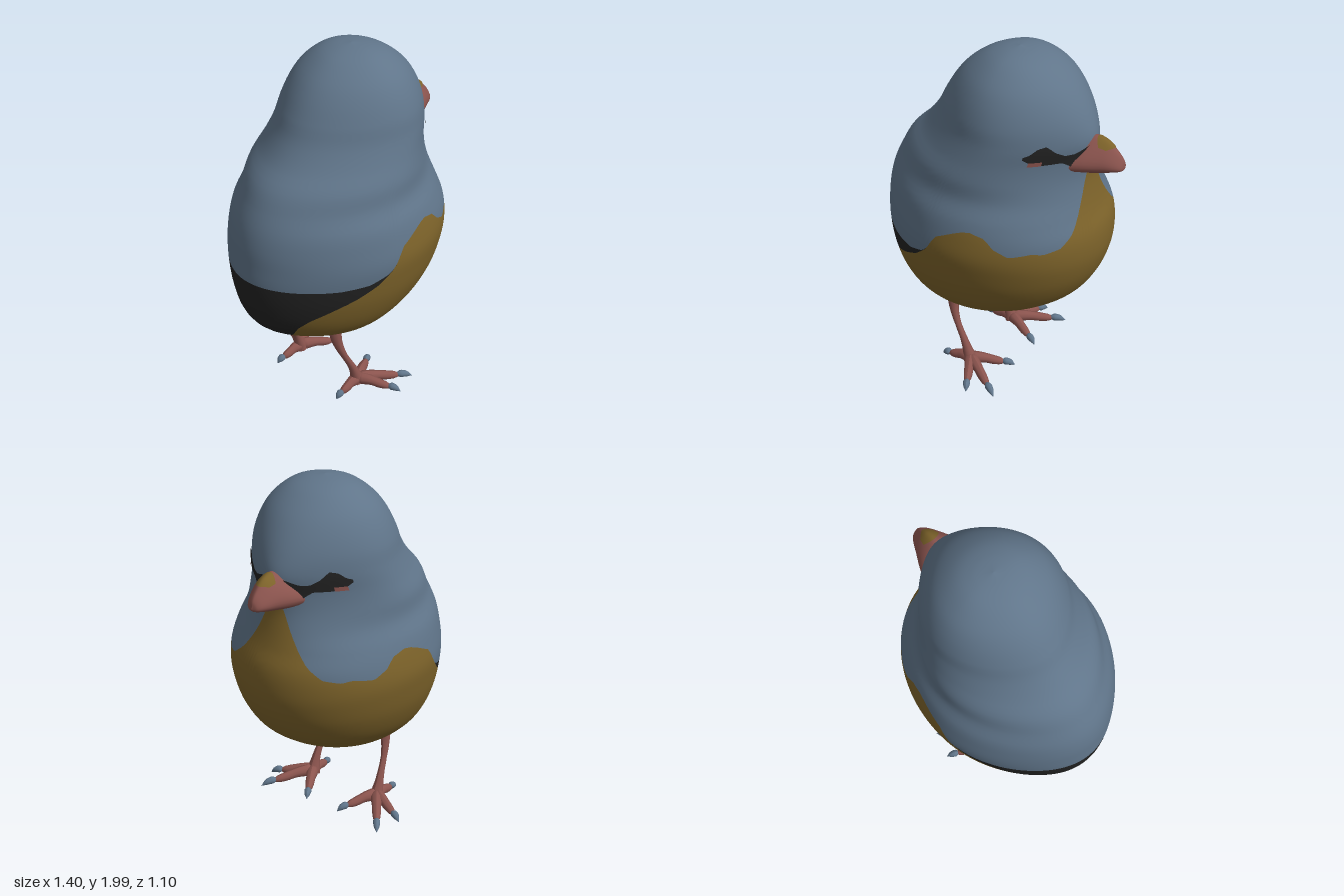
import * as THREE from 'three';

const mat = (name, color) =>
  Object.assign(new THREE.MeshStandardMaterial({ color }), { name });

// Smooth curve through rows of [key, a, b, c, d]; at(t) gives an interpolated row
function rowsCurve(rows) {
  const make = (i, j) => new THREE.CatmullRomCurve3(
    rows.map(r => new THREE.Vector3(r[0], r[i], r[j])), false, 'catmullrom', 0.5);
  const p = make(1, 2), q = make(3, 4);
  return t => {
    const a = p.getPoint(t), b = q.getPoint(t);
    return [a.x, a.y, a.z, b.y, b.z];
  };
}

// Piecewise linear lookup in [[x, y], ...]
function lookup(table, x) {
  if (x <= table[0][0]) return table[0][1];
  for (let i = 1; i < table.length; i++) {
    const [x0, y0] = table[i - 1], [x1, y1] = table[i];
    if (x <= x1) return y0 + (y1 - y0) * (x - x0) / (x1 - x0);
  }
  return table[table.length - 1][1];
}

// Strip of the surface P(angle, u), between u = lo(angle) and hi(angle), raised by offset
function strip(P, a0, a1, lo, hi, na, nu, offset = 0) {
  const pos = [], nor = [], idx = [], e = 0.002;
  for (let i = 0; i <= na; i++) {
    const a = a0 + (a1 - a0) * i / na, l = lo(a), h = Math.max(l, hi(a));
    for (let j = 0; j <= nu; j++) {
      const u = l + (h - l) * j / nu, v = THREE.MathUtils.clamp(u, 0.004, 0.996);
      const du = P(a, v + e).sub(P(a, v - e)), da = P(a + e, v).sub(P(a - e, v));
      const n = du.cross(da).normalize();
      pos.push(...P(a, u).addScaledVector(n, offset).toArray());
      nor.push(...n.toArray());
      if (i < na && j < nu) {
        const k = i * (nu + 1) + j, m = k + nu + 1;
        idx.push(k, k + 1, m, k + 1, m + 1, m);
      }
    }
  }
  const g = new THREE.BufferGeometry();
  g.setAttribute('position', new THREE.Float32BufferAttribute(pos, 3));
  g.setAttribute('normal', new THREE.Float32BufferAttribute(nor, 3));
  g.setIndex(idx);
  return g;
}

// Tube whose radius follows a list of values
function taperTube(points, radii, seg = 16) {
  const curve = new THREE.CatmullRomCurve3(points.map(p => new THREE.Vector3(...p)));
  const g = new THREE.TubeGeometry(curve, seg, 1, 10), pos = g.attributes.position;
  const table = radii.map((r, i) => [i / (radii.length - 1), r]), v = new THREE.Vector3();
  for (let i = 0; i < pos.count; i++) {
    const t = Math.floor(i / 11) / seg, c = curve.getPointAt(t);
    v.fromBufferAttribute(pos, i).sub(c).multiplyScalar(lookup(table, t)).add(c);
    pos.setXYZ(i, v.x, v.y, v.z);
  }
  g.computeVertexNormals();
  return g;
}

// Body sections: height, back x, front x, half width, taper towards the face
const bodyAt = rowsCurve([
  [0.415, -0.16, -0.16, 0, 0], [0.425, -0.3, 0, 0.15, 0], [0.455, -0.4, 0.15, 0.25, 0],
  [0.5, -0.5, 0.26, 0.325, 0], [0.57, -0.6, 0.375, 0.4, 0], [0.66, -0.66, 0.48, 0.46, 0],
  [0.78, -0.69, 0.555, 0.51, 0], [0.9, -0.7, 0.595, 0.537, 0], [1.0, -0.695, 0.605, 0.548, 0],
  [1.1, -0.685, 0.595, 0.535, 0], [1.2, -0.66, 0.56, 0.51, 0.05], [1.3, -0.615, 0.535, 0.465, 0.15],
  [1.4, -0.555, 0.52, 0.45, 0.28], [1.5, -0.455, 0.525, 0.42, 0.38], [1.6, -0.38, 0.53, 0.395, 0.36],
  [1.7, -0.327, 0.495, 0.375, 0.26], [1.8, -0.265, 0.435, 0.335, 0.16], [1.88, -0.195, 0.365, 0.28, 0.08],
  [1.95, -0.1, 0.27, 0.195, 0], [1.985, -0.01, 0.18, 0.11, 0], [2.0, 0.08, 0.08, 0, 0],
]);
function bodyPoint(a, u) {
  const [y, back, front, half, taper] = bodyAt(u), c = Math.cos(a);
  return new THREE.Vector3((front + back) / 2 + (front - back) / 2 * c, y,
    half * Math.sin(a) * (1 - (c > 0 ? taper : 0.17) * c * c));
}
function bodyU(y) {
  let lo = 0, hi = 1;
  for (let i = 0; i < 24; i++) {
    const m = (lo + hi) / 2;
    if (bodyAt(m)[0] < y) lo = m; else hi = m;
  }
  return lo;
}
const edge = table => a => bodyU(lookup(table, Math.abs(a)));

// Plumage borders: angle from the face, height
const sharedEdge = [[0, 1.46], [0.15, 1.43], [0.25, 1.3], [0.33, 1.2], [0.41, 1.14], [0.55, 1.08],
  [0.72, 1.06], [0.81, 1.07], [1.01, 1.05], [1.14, 1.09], [1.21, 1.14], [1.34, 1.16],
  [1.42, 1.15], [1.5, 1.13], [1.66, 1.08], [1.75, 0.98]];
const bellyTop = edge([...sharedEdge, [1.88, 0.9], [2.04, 0.84], [2.23, 0.78], [2.43, 0.71],
  [2.55, 0.65], [2.64, 0.57], [2.8, 0.51], [3.14, 0.49]]);
const coatBottom = edge([...sharedEdge, [1.81, 0.95], [1.96, 0.915], [2.2, 0.905], [3.14, 0.91]]);
const maskTop = edge([[0, 1.6], [0.3, 1.58], [0.47, 1.56], [0.6, 1.56], [0.72, 1.585],
  [0.82, 1.625], [0.92, 1.615], [1.0, 1.585], [1.06, 1.575]]);
const maskBottom = edge([[0, 1.44], [0.3, 1.465], [0.47, 1.485], [0.62, 1.52], [0.83, 1.52],
  [0.95, 1.53], [1.06, 1.56]]);

// Beak sections: x, top y, bottom y, half width
const beakAt = rowsCurve([
  [0.43, 1.6, 1.42, 0.145, 0], [0.52, 1.62, 1.425, 0.115, 0], [0.6, 1.605, 1.437, 0.078, 0],
  [0.66, 1.557, 1.452, 0.05, 0], [0.69, 1.52, 1.462, 0.027, 0], [0.7, 1.485, 1.475, 0, 0],
]);
function beakPoint(a, u) {
  const [x, top, bottom, w] = beakAt(u), c = Math.cos(a);
  return new THREE.Vector3(x, (top + bottom) / 2 + (top - bottom) / 2 * c,
    -w * Math.sin(a) * (1 - 0.5 * c));
}

export function createModel() {
  const bird = new THREE.Group();
  bird.name = 'bird';
  const blue = mat('slateBlue', 0x60758a), ochre = mat('ochre', 0x7d632a);
  const black = mat('black', 0x222222), pink = mat('dullPink', 0x8b544e);
  const add = (name, geo, material, parent = bird) => {
    const m = new THREE.Mesh(geo, material);
    m.name = name;
    parent.add(m);
  };
  const at = v => () => v, PI = Math.PI;

  // Plumage, one closed skin in three bands
  add('belly', strip(bodyPoint, -PI, PI, at(0), bellyTop, 160, 36), ochre);
  add('rump', strip(bodyPoint, -PI, PI, bellyTop, coatBottom, 160, 10), black);
  add('headAndBack', strip(bodyPoint, -PI, PI, coatBottom, at(1), 160, 44), blue);

  // Face
  add('eyeMask', strip(bodyPoint, -1.06, 1.06, maskBottom, maskTop, 80, 6, 0.006), black);
  for (const s of [-1, 1]) {
    const mid = 0.92 * s;
    add('eyeSpot', strip(bodyPoint, mid - 0.07, mid + 0.07,
      at(bodyU(1.52)), at(bodyU(1.543)), 6, 2, 0.009), pink);
  }
  add('beak', strip(beakPoint, -PI, PI, at(0), at(1), 32, 24), pink);
  add('beakPatch', strip(beakPoint, -0.9, 0.9, a => 0.26 + 0.08 * a * a,
    a => 0.52 - 0.12 * a * a, 12, 6, 0.004), ochre);

  // Legs and feet, mirrored in z
  for (const s of [-1, 1]) {
    const leg = new THREE.Group();
    leg.name = s > 0 ? 'nearLeg' : 'farLeg';
    bird.add(leg);
    add('shank', taperTube([[-0.235, 0.48, 0.175 * s], [-0.235, 0.38, 0.19 * s], [-0.205, 0.28, 0.207 * s],
      [-0.14, 0.15, 0.222 * s], [-0.1, 0.04, 0.225 * s]],
    [0.04, 0.033, 0.024, 0.018, 0.019, 0.026, 0.042]), pink, leg);
    const toes = [[0.16, 0.4], [0.12, 0.11], [0.01, 0.445], [-0.28, 0.235]];
    for (const [x, z] of toes) {
      const p = (t, y) => [-0.1 + (x + 0.1) * t, y, (0.225 + (z - 0.225) * t) * s];
      add('toe', taperTube([p(-0.1, 0.055), p(0.3, 0.055), p(0.55, 0.042), p(0.85, 0.03)],
        [0, 0.036, 0.032, 0.027, 0.026, 0.021, 0]), pink, leg);
      add('claw', taperTube([p(0.68, 0.038), p(0.88, 0.034), p(1.03, 0.012)],
        [0, 0.022, 0.017, 0], 10), blue, leg);
    }
  }
  return bird;
}
